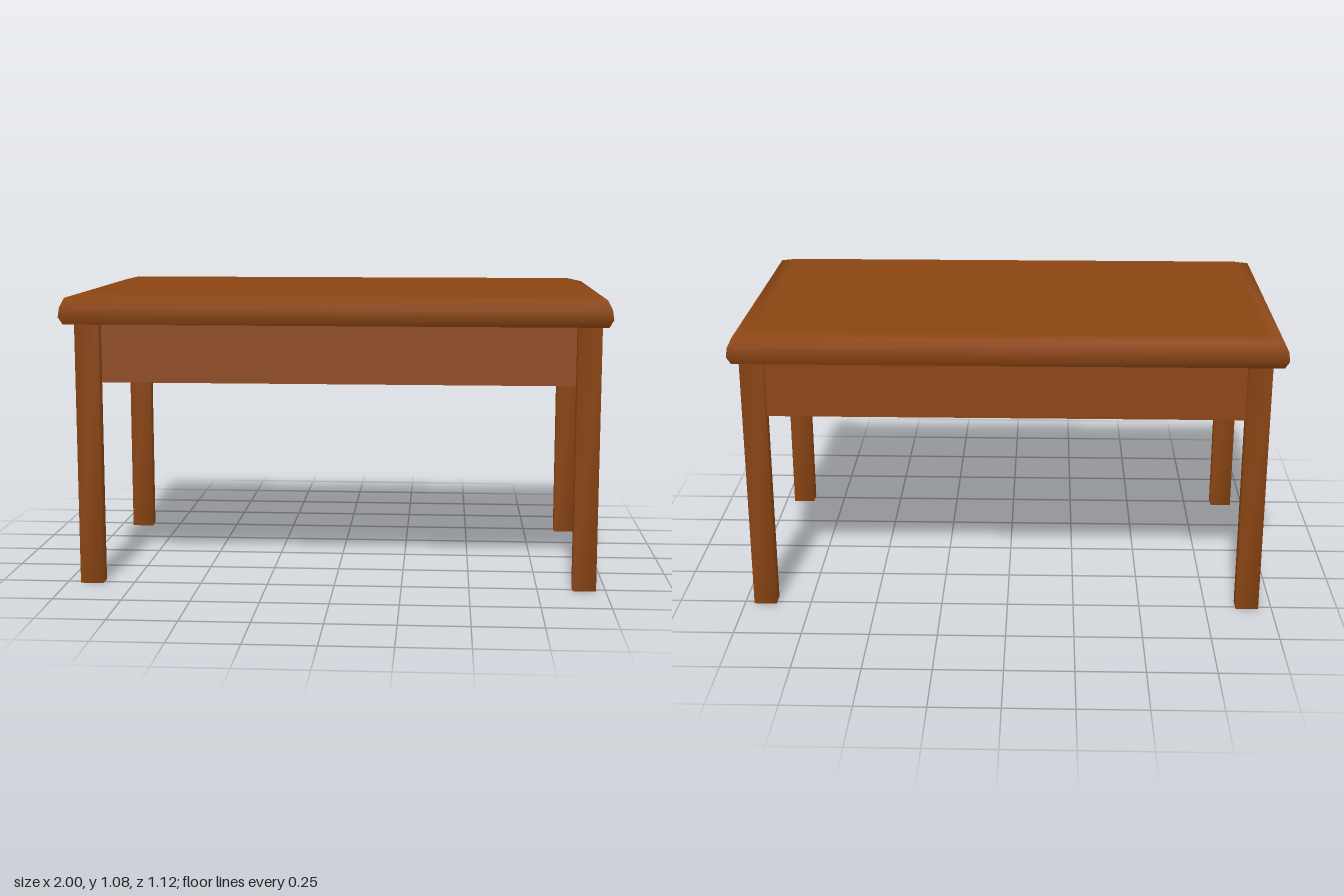
import * as THREE from 'three';
import { mergeVertices } from 'three/addons/utils/BufferGeometryUtils.js';

const wood = new THREE.MeshStandardMaterial({ color: 0x8b4513 });
const thinWood = new THREE.MeshStandardMaterial({ color: 0x8b4513, side: THREE.DoubleSide });

const TOP_BOTTOM = 0.972;
const APRON_BOTTOM = 0.75;

// Rounded-over shell, open below: rectangular rings [halfX, halfZ, y] skinned bottom to top
function shellGeometry(rings) {
  const positions = [];
  const indices = [];
  for (const [x, z, y] of rings) positions.push(-x, y, z, x, y, z, x, y, -z, -x, y, -z);
  for (let r = 0; r < rings.length - 1; r++) {
    for (let i = 0; i < 4; i++) {
      const a = r * 4 + i, b = r * 4 + (i + 1) % 4;
      indices.push(a, b, b + 4, a, b + 4, a + 4);
    }
  }
  const t = (rings.length - 1) * 4;
  indices.push(t, t + 1, t + 2, t, t + 2, t + 3); // top surface
  const geometry = new THREE.BufferGeometry();
  geometry.setAttribute('position', new THREE.Float32BufferAttribute(positions, 3));
  geometry.setIndex(indices);
  geometry.computeVertexNormals();
  return geometry;
}

// Box with shared corners, so its shading is soft
function softBox(w, h, d) {
  const box = new THREE.BoxGeometry(w, h, d);
  box.deleteAttribute('normal');
  box.deleteAttribute('uv');
  const geometry = mergeVertices(box);
  geometry.computeVertexNormals();
  return geometry;
}

export function createModel() {
  const table = new THREE.Group();
  table.name = 'table';
  const add = (name, geometry, material, x, y, z) => {
    const mesh = new THREE.Mesh(geometry, material);
    mesh.name = name;
    mesh.position.set(x, y, z);
    table.add(mesh);
    return mesh;
  };

  // Table top, hollow underneath
  add('tableTop', shellGeometry([
    [0.985, 0.549, TOP_BOTTOM],
    [1.0, 0.558, 1.0],
    [0.995, 0.555, 1.035],
    [0.978, 0.545, 1.069],
    [0.917, 0.512, 1.084],
  ]), thinWood, 0, 0, 0);

  // Legs
  const legX = { left: 0.922, right: -0.907 };
  const legZ = { front: 0.491, back: -0.485 };
  const legGeometry = softBox(0.085, TOP_BOTTOM, 0.062);
  for (const [end, z] of Object.entries(legZ)) {
    for (const [side, x] of Object.entries(legX)) {
      add(`${end}${side === 'left' ? 'Left' : 'Right'}Leg`, legGeometry, wood, x, TOP_BOTTOM / 2, z);
    }
  }

  // Thin apron panels between the legs
  const height = TOP_BOTTOM - APRON_BOTTOM;
  const midY = (TOP_BOTTOM + APRON_BOTTOM) / 2;
  const longPanel = new THREE.PlaneGeometry(1.75, height);
  const shortPanel = new THREE.PlaneGeometry(0.914, height);
  add('frontApron', longPanel, thinWood, 0.007, midY, 0.46);
  add('backApron', longPanel, thinWood, 0.007, midY, -0.482).rotation.y = Math.PI;
  add('leftApron', shortPanel, thinWood, 0.88, midY, 0.001).rotation.y = Math.PI / 2;
  add('rightApron', shortPanel, thinWood, -0.92, midY, 0.001).rotation.y = -Math.PI / 2;
  return table;
}
